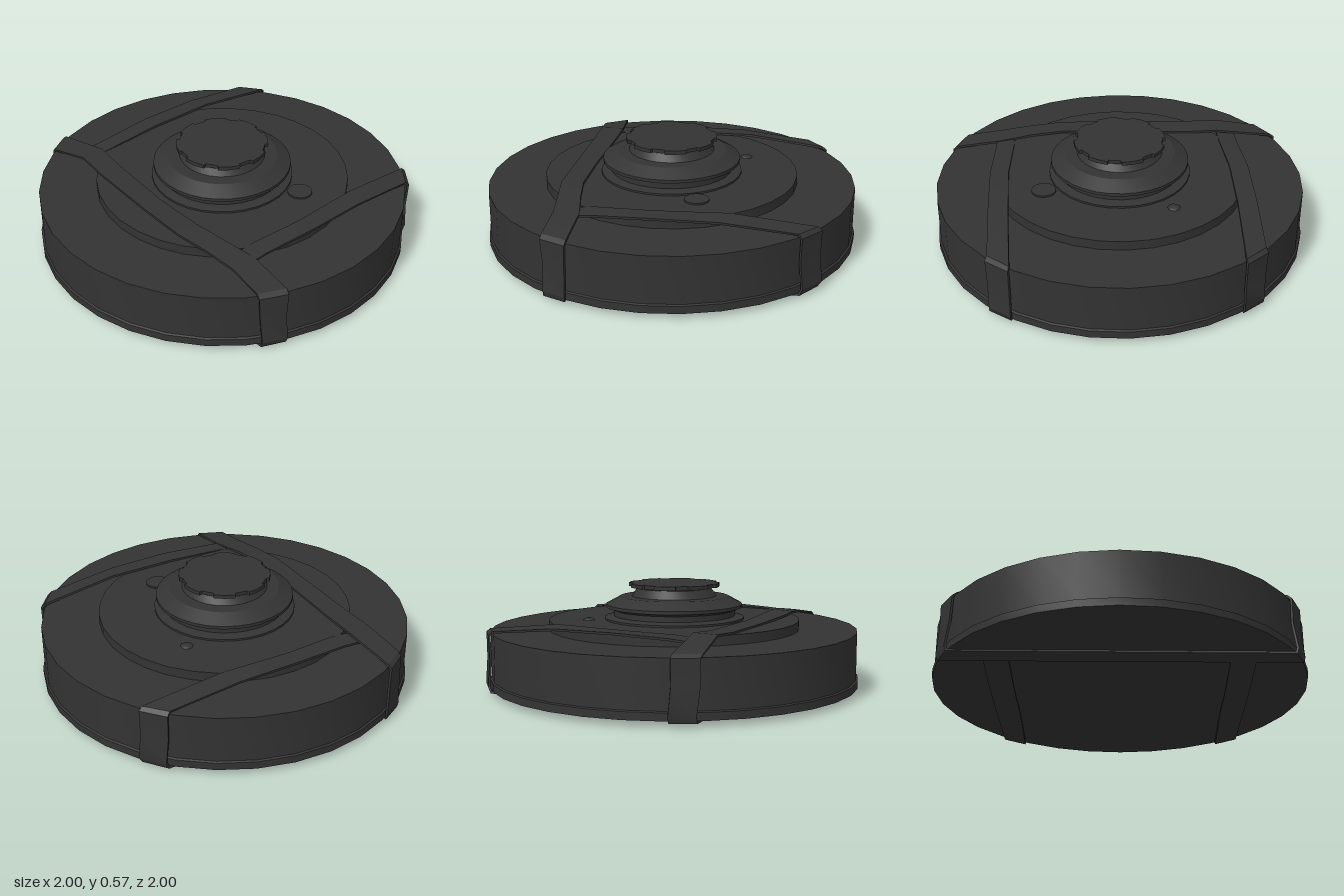
import * as THREE from 'three';
import { toCreasedNormals } from 'three/addons/utils/BufferGeometryUtils.js';

const SIDES = 32;
const material = new THREE.MeshStandardMaterial({ color: 0x333333 });

function addMesh(group, name, geometry, y = 0) {
  const mesh = new THREE.Mesh(toCreasedNormals(geometry, 0.42), material);
  mesh.name = name;
  mesh.position.y = y;
  group.add(mesh);
  return mesh;
}

// Solid of revolution from [radius, y] pairs, bottom to top
const turned = (profile) =>
  new THREE.LatheGeometry(profile.map(([r, y]) => new THREE.Vector2(r, y)), SIDES);

// Thin strap through stations [edge A xyz, edge B xyz]; (B - A) x travel points outward
function strapGeometry(stations, closed, thickness = 0.012) {
  const n = stations.length;
  const edgeA = stations.map((s) => new THREE.Vector3(s[0], s[1], s[2]));
  const edgeB = stations.map((s) => new THREE.Vector3(s[3], s[4], s[5]));
  const wrap = (i) => (closed ? (i + n) % n : Math.min(Math.max(i, 0), n - 1));
  const positions = [];
  const indices = [];
  for (let i = 0; i < n; i++) {
    const a = edgeA[i], b = edgeB[i];
    const dir = (j, k) => edgeA[k].clone().add(edgeB[k]).sub(edgeA[j]).sub(edgeB[j]).normalize();
    const travel = dir(wrap(i - 1), i).add(dir(i, wrap(i + 1)));
    const inward = b.clone().sub(a).cross(travel).normalize().multiplyScalar(-thickness);
    for (const p of [a, b, b.clone().add(inward), a.clone().add(inward)]) positions.push(p.x, p.y, p.z);
  }
  for (let i = 0; i < (closed ? n : n - 1); i++) {
    const next = wrap(i + 1);
    for (let k = 0; k < 4; k++) {
      const a = i * 4 + k, b = i * 4 + (k + 1) % 4;
      const c = next * 4 + (k + 1) % 4, d = next * 4 + k;
      indices.push(a, b, d, b, c, d);
    }
  }
  const geometry = new THREE.BufferGeometry();
  geometry.setAttribute('position', new THREE.Float32BufferAttribute(positions, 3));
  geometry.setIndex(indices);
  return geometry;
}

export function createModel() {
  const group = new THREE.Group();

  // Flat drum with a lower rim
  addMesh(group, 'body', turned([[0, 0.04], [1, 0.04], [1, 0.08], [0.99, 0.085], [0.99, 0.335], [0, 0.335]]));
  addMesh(group, 'raisedDisc', turned([[0.68, 0.33], [0.68, 0.385], [0, 0.385]]));

  // Stepped centre plate
  addMesh(group, 'collar', turned([[0.38, 0.38], [0.38, 0.395], [0.34, 0.405], [0, 0.405]]));
  addMesh(group, 'pressurePlate', turned([
    [0.33, 0.4], [0.33, 0.435], [0.37, 0.45], [0.37, 0.467], [0.295, 0.508],
    [0.23, 0.51], [0.2, 0.553], [0.15, 0.555], [0.15, 0.565],
  ]));

  // Top cap with shallow tabs around its rim
  const outline = [];
  for (let i = 0; i < 8; i++) {
    for (const [r, t] of [[0.246, 0], [0.246, 0.3], [0.246, 0.6], [0.23, 0.62], [0.23, 0.98]]) {
      const angle = ((i + t) / 8) * Math.PI * 2;
      outline.push(new THREE.Vector2(r * Math.cos(angle), r * Math.sin(angle)));
    }
  }
  const cap = new THREE.ExtrudeGeometry(new THREE.Shape(outline), { depth: 0.02, bevelEnabled: false });
  cap.rotateX(-Math.PI / 2);
  addMesh(group, 'notchedCap', cap, 0.56);

  // Small fittings on the raised disc
  const plug = addMesh(group, 'plug', new THREE.CylinderGeometry(0.065, 0.065, 0.012, 20), 0.388);
  plug.position.set(0.41, 0.388, -0.19);
  const stud = addMesh(group, 'stud', new THREE.SphereGeometry(0.035, 14, 8), 0.38);
  stud.position.set(-0.26, 0.38, -0.385);
  stud.scale.y = 0.5;

  // Front strap: up the left wall, across the top, down the right wall, back underneath
  addMesh(group, 'frontStrap', strapGeometry([
    [-0.92, 0.03, 0.41, -0.86, 0.03, 0.53],
    [-0.93, 0.06, 0.41, -0.87, 0.06, 0.53],
    [-0.918, 0.2, 0.42, -0.85, 0.2, 0.54],
    [-0.92, 0.335, 0.42, -0.845, 0.335, 0.54],
    [-0.9, 0.352, 0.415, -0.82, 0.352, 0.54],
    [-0.58, 0.407, 0.38, -0.58, 0.405, 0.51],
    [-0.4, 0.395, 0.395, -0.4, 0.395, 0.52],
    [0, 0.395, 0.42, 0, 0.395, 0.535],
    [0.3, 0.405, 0.42, 0.3, 0.4, 0.54],
    [0.48, 0.4, 0.395, 0.48, 0.395, 0.515],
    [0.66, 0.385, 0.36, 0.66, 0.38, 0.495],
    [0.91, 0.35, 0.37, 0.85, 0.35, 0.505],
    [0.932, 0.33, 0.375, 0.872, 0.33, 0.51],
    [0.928, 0.2, 0.38, 0.87, 0.2, 0.5],
    [0.94, 0.06, 0.38, 0.89, 0.06, 0.5],
    [0.93, 0.03, 0.38, 0.88, 0.03, 0.5],
  ], true));

  // Side straps: from under the front strap over the back edge and forward underneath
  const side = [
    [0.58, 0.378, 0.43, 0.68, 0.375, 0.43],
    [0.58, 0.39, 0.3, 0.68, 0.385, 0.3],
    [0.6, 0.397, 0, 0.7, 0.397, 0],
    [0.59, 0.403, -0.38, 0.695, 0.395, -0.34],
    [0.575, 0.353, -0.81, 0.685, 0.355, -0.72],
    [0.58, 0.335, -0.83, 0.695, 0.335, -0.738],
    [0.58, 0.2, -0.828, 0.69, 0.2, -0.735],
    [0.58, 0.06, -0.84, 0.69, 0.06, -0.75],
    [0.575, 0.028, -0.82, 0.69, 0.028, -0.735],
    [0.56, 0.018, -0.3, 0.69, 0.018, -0.3],
    [0.56, 0.012, 0, 0.69, 0.012, 0],
    [0.56, 0.018, 0.2, 0.69, 0.018, 0.2],
    [0.56, 0.035, 0.42, 0.69, 0.035, 0.42],
  ];
  const mirrored = side.map(([ax, ay, az, bx, by, bz]) => [-bx, by, bz, -ax, ay, az]);
  addMesh(group, 'leftStrap', strapGeometry(side, false));
  addMesh(group, 'rightStrap', strapGeometry(mirrored, false));

  return group;
}
